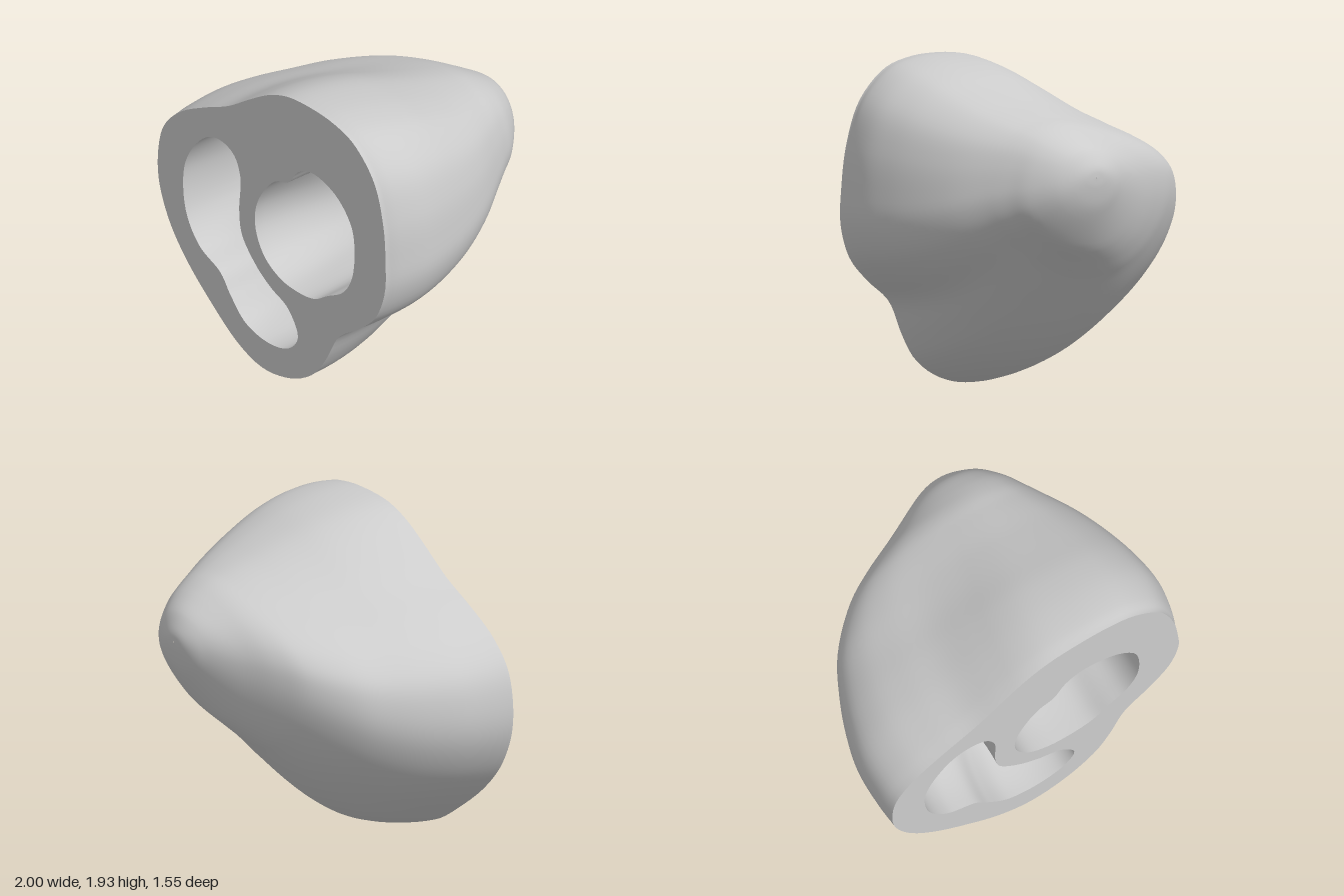
import * as THREE from 'three';

const material = new THREE.MeshStandardMaterial({ color: 0xcccccc, roughness: 0.8 });
const faceZ = (x, y) => 0.745 - 0.055 * x - 0.033 * y; // slightly tilted cut plane
const { lerp, mapLinear, clamp } = THREE.MathUtils;

// Smooth closed outline through [x, y] points, counter-clockwise from the front
function outline(points, count) {
  const curve = new THREE.CatmullRomCurve3(points.map(([x, y]) => new THREE.Vector3(x, y, 0)), true);
  return curve.getSpacedPoints(count).slice(0, count).map(p => new THREE.Vector2(p.x, p.y));
}

// Skin a list of closed rings that run from front to back
function loft(name, rings, inward) {
  const n = rings[0].length, index = [];
  for (let j = 0; j < rings.length - 1; j++) {
    for (let i = 0; i < n; i++) {
      const k = (i + 1) % n;
      const a = j * n + i, b = j * n + k, c = a + n, d = b + n;
      if (inward) index.push(a, b, c, b, d, c);
      else index.push(a, c, b, b, c, d);
    }
  }
  const geometry = new THREE.BufferGeometry().setFromPoints(rings.flat());
  geometry.setIndex(index);
  geometry.computeVertexNormals();
  const mesh = new THREE.Mesh(geometry, material);
  mesh.name = name;
  return mesh;
}

const rim = outline([
  [0.3, 1.93], [0.1, 1.91], [-0.05, 1.85], [-0.2, 1.75], [-0.4, 1.6], [-0.6, 1.49], [-0.8, 1.36],
  [-0.93, 1.2], [-0.97, 1.0], [-0.95, 0.8], [-0.85, 0.58], [-0.7, 0.4], [-0.5, 0.23], [-0.25, 0.06],
  [-0.04, 0], [0.2, 0.05], [0.38, 0.17], [0.48, 0.32], [0.58, 0.52], [0.75, 0.66], [0.88, 0.8],
  [0.95, 1.0], [0.95, 1.2], [0.92, 1.45], [0.83, 1.7], [0.65, 1.87], [0.48, 1.92],
], 120);

const roundHole = outline([
  [0.3, 1.5], [0.2, 1.45], [0.12, 1.34], [0.02, 1.3], [-0.07, 1.2], [-0.14, 1.05], [-0.14, 0.9],
  [-0.06, 0.75], [0.07, 0.67], [0.2, 0.65], [0.36, 0.67], [0.48, 0.75], [0.6, 0.83], [0.67, 0.95],
  [0.69, 1.13], [0.66, 1.3], [0.55, 1.43], [0.42, 1.49],
], 72);

const curvedHole = outline([
  [-0.45, 1.34], [-0.56, 1.31], [-0.68, 1.18], [-0.75, 1.0], [-0.72, 0.72], [-0.6, 0.55],
  [-0.42, 0.46], [-0.33, 0.35], [-0.2, 0.23], [0, 0.19], [0.17, 0.24], [0.24, 0.35], [0.15, 0.5],
  [0, 0.57], [-0.12, 0.65], [-0.25, 0.8], [-0.28, 0.95], [-0.28, 1.18], [-0.34, 1.3],
], 160);

// Extents of the outer wall from the cut face to the apex: z, xMin, xMax, yMin, yMax
const extents = [
  [0.71, -0.97, 0.95, 0, 1.93], [0.6, -0.99, 0.98, 0.02, 1.935], [0.4, -1, 1, 0.08, 1.915],
  [0.2, -0.96, 0.97, 0.17, 1.87], [0, -0.89, 0.91, 0.31, 1.8], [-0.2, -0.79, 0.82, 0.5, 1.73],
  [-0.4, -0.6, 0.69, 0.72, 1.67], [-0.5, -0.44, 0.62, 0.82, 1.64], [-0.6, -0.24, 0.55, 0.93, 1.59],
  [-0.7, -0.05, 0.44, 1.1, 1.52], [-0.745, 0.04, 0.35, 1.2, 1.46], [-0.768, 0.12, 0.27, 1.3, 1.41],
  [-0.773, 0.195, 0.2, 1.36, 1.365],
];

function outerWall() {
  const spanXs = new THREE.CatmullRomCurve3(extents.map(e => new THREE.Vector3(e[1], e[2], e[0])));
  const spanYs = new THREE.CatmullRomCurve3(extents.map(e => new THREE.Vector3(e[3], e[4], e[0])));
  const rings = [], steps = 60;
  for (let s = 0; s <= steps; s++) {
    const sx = spanXs.getPoint(s / steps), sy = spanYs.getPoint(s / steps), z = sx.z;
    const t = clamp((0.71 - z) / 1.48, 0, 1);
    // The lobed outline relaxes into an oval leaning to the upper right
    const blend = t * t;
    const lean = 0.4 * (1 - Math.pow(t, 6));
    const ring = rim.map(p => {
      const u = (p.x + 0.01) / 0.96, v = (p.y - 0.965) / 0.965, a = Math.atan2(v, u);
      const c = Math.cos(a), d = Math.sin(a);
      return new THREE.Vector2(lerp(u, c + lean * d * (1 - c * c), blend), lerp(v, d, blend));
    });
    const box = new THREE.Box2().setFromPoints(ring);
    const tilt = Math.pow(1 - t, 6);
    rings.push(ring.map((q, i) => {
      if (s === 0) return new THREE.Vector3(rim[i].x, rim[i].y, faceZ(rim[i].x, rim[i].y));
      const x = mapLinear(q.x, box.min.x, box.max.x, sx.x, sx.y);
      const y = mapLinear(q.y, box.min.y, box.max.y, sy.x, sy.y);
      return new THREE.Vector3(x, y, z + (faceZ(x, y) - 0.71) * tilt);
    }));
  }
  return loft('outerWall', rings, false);
}

// Hollow whose walls curve in from the hole's edge to a deep spine
function cavity(name, hole, spinePoints) {
  const spine = new THREE.CatmullRomCurve3(spinePoints.map(p => new THREE.Vector3(...p))).getPoints(200);
  const targets = hole.map(p => spine.reduce((best, s) =>
    Math.hypot(s.x - p.x, s.y - p.y) < Math.hypot(best.x - p.x, best.y - p.y) ? s : best));
  const rings = [], steps = 20;
  for (let j = 0; j <= steps; j++) {
    const f = j / steps * Math.PI / 2;
    rings.push(hole.map((p, i) => {
      const s = targets[i];
      // Gentle muscle folds along the wall
      const fold = 0.03 * Math.sin(2 * f) * Math.sin(9 * p.x + 7 * p.y + 3 * f);
      const pull = clamp(1 - Math.pow(Math.cos(f), 0.85) + fold, 0, 1);
      return new THREE.Vector3(
        lerp(p.x, s.x, pull), lerp(p.y, s.y, pull), lerp(faceZ(p.x, p.y), s.z, Math.sin(f)));
    }));
  }
  return loft(name, rings, true);
}

// Flat cut face with both openings
function cutFace() {
  const shape = new THREE.Shape(rim);
  shape.holes.push(new THREE.Path(roundHole), new THREE.Path(curvedHole));
  const geometry = new THREE.ShapeGeometry(shape);
  const pos = geometry.attributes.position;
  for (let i = 0; i < pos.count; i++) pos.setZ(i, faceZ(pos.getX(i), pos.getY(i)));
  geometry.computeVertexNormals();
  const mesh = new THREE.Mesh(geometry, material);
  mesh.name = 'cutFace';
  return mesh;
}

export function createModel() {
  const group = new THREE.Group();
  group.name = 'hollowMuscleSection';
  group.add(
    outerWall(),
    cutFace(),
    cavity('roundCavity', roundHole, [[0.3, 1.08, -0.18], [0.38, 1.16, -0.2]]),
    cavity('curvedCavity', curvedHole,
      [[-0.47, 1.14, 0.05], [-0.48, 0.92, 0.08], [-0.38, 0.7, 0.28], [-0.2, 0.5, 0.3], [0.06, 0.36, 0.36]]),
  );
  return group;
}
